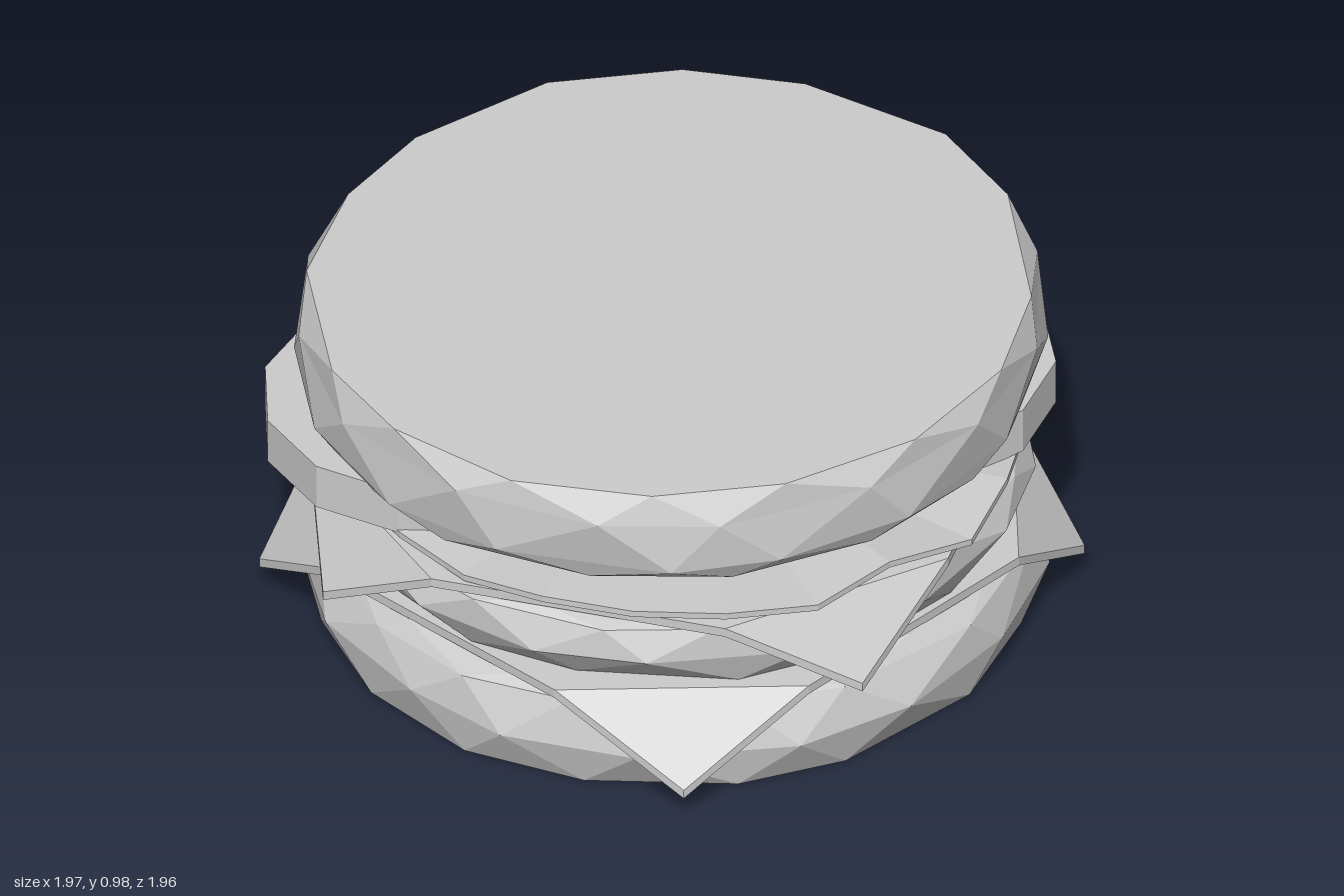
import * as THREE from 'three';

const material = new THREE.MeshStandardMaterial({ color: 0xcccccc, flatShading: true });

function seeded(seed) {
  let s = seed;
  return () => (s = (s * 16807) % 2147483647) / 2147483647 - 0.5;
}

function addPart(group, name, geometry, x = 0, y = 0, z = 0) {
  const flat = geometry.toNonIndexed();
  flat.computeVertexNormals();
  const mesh = new THREE.Mesh(flat, material);
  mesh.name = name;
  mesh.position.set(x, y, z);
  group.add(mesh);
  return mesh;
}

function fromArrays(pos, index) {
  const geometry = new THREE.BufferGeometry();
  geometry.setAttribute('position', new THREE.Float32BufferAttribute(pos, 3));
  geometry.setIndex(index);
  return geometry;
}

// Closed faceted body: staggered rings of [radius, y], listed bottom to top
function facetedBody(rings, sides, seed, tiltX = 0, tiltZ = 0) {
  const rand = seeded(seed);
  const pos = [];
  const index = [];
  const last = rings.length - 1;
  rings.forEach(([r, y], k) => {
    const rough = k === 0 || k === last ? 0.004 : 0.03;
    for (let i = 0; i < sides; i++) {
      const a = ((i + k / 2 + rand() * 0.3) / sides) * Math.PI * 2;
      const rr = r + rand() * 0.02;
      const x = rr * Math.cos(a), z = rr * Math.sin(a);
      pos.push(x, y + rand() * rough + tiltX * x + tiltZ * z, z);
    }
  });
  for (let k = 0; k < last; k++) {
    for (let i = 0; i < sides; i++) {
      const j = (i + 1) % sides;
      const a = k * sides + i, b = k * sides + j;
      const c = a + sides, d = b + sides;
      index.push(a, c, b, b, c, d);
    }
  }
  const low = pos.length / 3;
  pos.push(0, rings[0][1], 0, 0, rings[last][1], 0);
  for (let i = 0; i < sides; i++) {
    const j = (i + 1) % sides;
    index.push(low, i, j, low + 1, last * sides + j, last * sides + i);
  }
  return fromArrays(pos, index);
}

// Flat octagon with four pointed flaps folded down over the layer below
function cheeseSlice(tipRadius) {
  const h = 0.87, b = 0.4, tip = tipRadius * Math.SQRT1_2, drop = 0.2, thick = 0.026;
  const pos = [];
  const index = [];
  // Two outlines of 12 points, upper then lower
  for (const y of [0, -thick]) {
    for (let c = 0; c < 4; c++) {
      const co = Math.cos(c * Math.PI / 2), si = Math.sin(c * Math.PI / 2);
      for (const [x, z, dy] of [[h, b, 0], [tip, tip, -drop], [b, h, 0]]) {
        pos.push(x * co - z * si, y + dy, x * si + z * co);
      }
    }
  }
  pos.push(0, 0, 0, 0, -thick, 0);
  for (let i = 0; i < 12; i++) {
    const j = (i + 1) % 12;
    index.push(12 + i, i, 12 + j, 12 + j, i, j);
    if (i % 3 === 0) {
      const k = i + 2;
      index.push(i, k, j, 12 + i, 12 + j, 12 + k);
      index.push(24, k, i, 25, 12 + i, 12 + k);
    } else if (i % 3 === 2) {
      index.push(24, j, i, 25, 12 + i, 12 + j);
    }
  }
  return fromArrays(pos, index);
}

// Thin leaf with a ragged, waving rim
function lettuceLeaf() {
  const rand = seeded(77);
  const sides = 24;
  const geometry = new THREE.CylinderGeometry(1, 1, 0.018, sides, 1);
  const rim = Array.from({ length: sides }, (_, i) => [
    0.94 + rand() * 0.07,
    (i % 2 ? 0.012 : -0.01) + rand() * 0.02,
  ]);
  const p = geometry.attributes.position;
  for (let i = 0; i < p.count; i++) {
    const x = p.getX(i), z = p.getZ(i);
    if (Math.hypot(x, z) < 0.5) continue;
    const turn = Math.atan2(z, x) / (Math.PI * 2) + 1;
    const [r, dy] = rim[Math.round(turn * sides) % sides];
    p.setXYZ(i, x * r, p.getY(i) + dy, z * r);
  }
  return geometry;
}

export function createModel() {
  const burger = new THREE.Group();
  burger.name = 'burger';

  // Buns and patty
  addPart(burger, 'bottomBun', facetedBody(
    [[0.94, 0.003], [0.985, 0.13], [0.945, 0.245], [0.89, 0.277]], 16, 11), 0.015, 0, -0.01);
  addPart(burger, 'patty', facetedBody(
    [[0.885, 0.303], [0.945, 0.4], [0.925, 0.475], [0.87, 0.5]], 16, 29), 0.015, 0, -0.01);
  addPart(burger, 'topBun', facetedBody(
    [[0.94, 0.677], [0.98, 0.74], [0.98, 0.875], [0.95, 0.95]], 16, 53, 0.027, 0.013),
  0.012, 0, -0.012);

  // Cheese slices: [name, height, tip radius, direction of one corner in degrees]
  const slices = [['lowerCheese', 0.302, 1.08, 52], ['upperCheese', 0.527, 1.04, 25]];
  for (const [name, y, tip, corner] of slices) {
    const slice = addPart(burger, name, cheeseSlice(tip), 0, y, 0);
    slice.rotation.y = THREE.MathUtils.degToRad(45 - corner);
  }

  // Lettuce
  addPart(burger, 'lettuce', lettuceLeaf(), 0, 0.549, 0);

  // Tomato slices: [x, z, radius]
  const spots = [[0.38, 0.4, 0.46], [-0.44, -0.43, 0.47], [0.5, -0.36, 0.36]];
  spots.forEach(([x, z, r], i) => {
    const slice = addPart(burger, 'tomatoSlice' + (i + 1),
      new THREE.CylinderGeometry(r, r, 0.13, 12), x, 0.63 + x * 0.015, z);
    slice.rotation.y = i * 0.4;
  });

  return burger;
}
